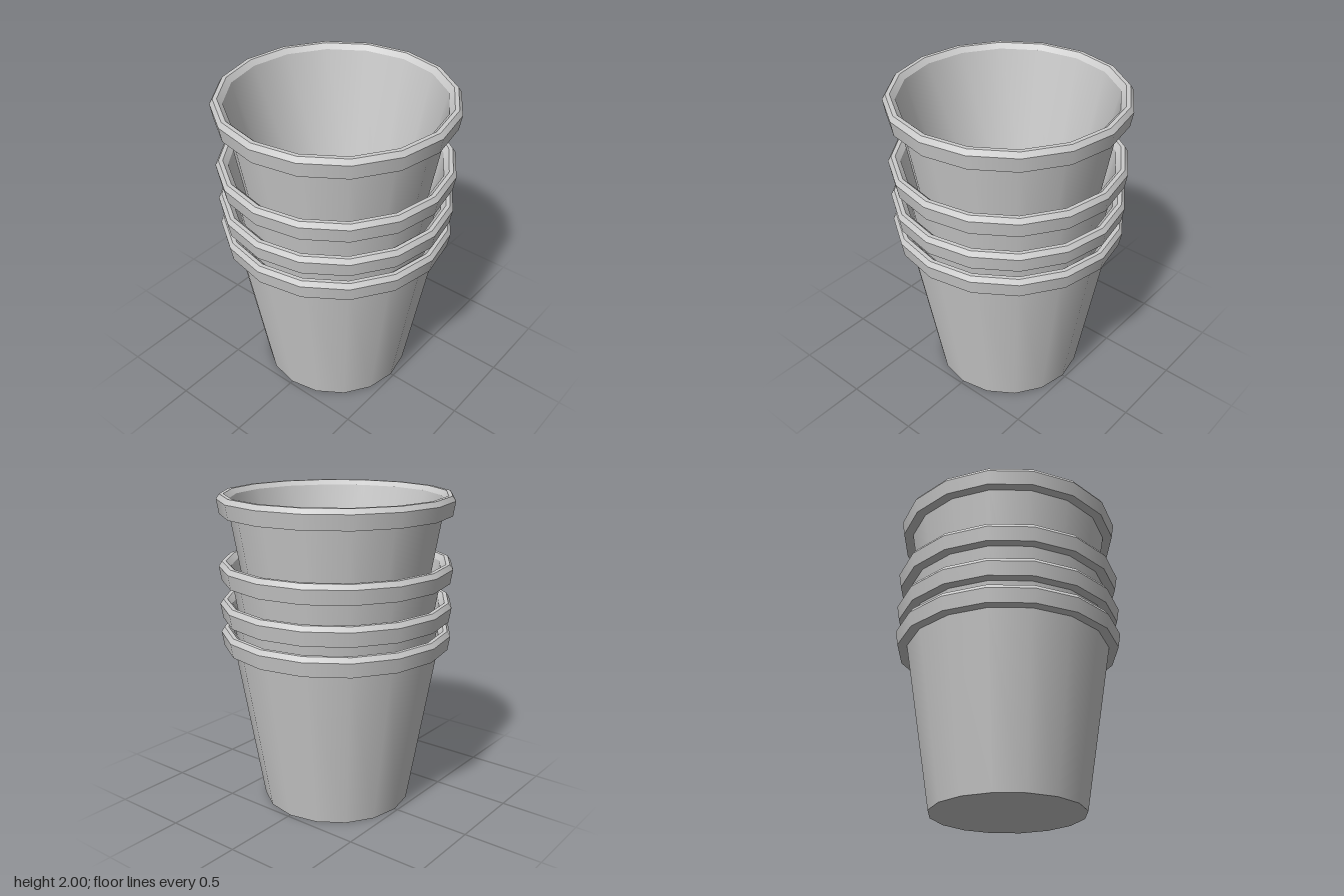
import * as THREE from 'three';
import { mergeGeometries } from 'three/addons/utils/BufferGeometryUtils.js';

const SIDES = 16;

// One lathe band per profile segment: smooth around, sharp between bands
function bands(points) {
  const parts = [];
  for (let i = 0; i < points.length - 1; i++) {
    const pair = [points[i], points[i + 1]].map(([r, y]) => new THREE.Vector2(r, y));
    parts.push(new THREE.LatheGeometry(pair, SIDES));
  }
  return mergeGeometries(parts);
}

export function createModel() {
  const group = new THREE.Group();
  group.name = 'stackedPots';
  const material = new THREE.MeshStandardMaterial({ color: 0xcccccc });

  // Profiles as [radius, height], running from the outside to the inside
  const shapes = {
    base: bands([[0, 0], [0.48, 0]]),
    outerWall: bands([[0.48, 0], [0.655, 1.05]]),
    rim: bands([[0.655, 1.05], [0.715, 1.05], [0.73, 1.14], [0.71, 1.17], [0.685, 1.17], [0.655, 1.14]]),
    innerWall: bands([[0.655, 1.14], [0.42, 0.06]]),
    floor: bands([[0.42, 0.06], [0, 0.06]]),
  };

  // Four nested pots, each sitting higher than the last
  [0, 0.18, 0.42, 0.83].forEach((lift, i) => {
    const pot = new THREE.Group();
    pot.name = `pot${i + 1}`;
    pot.position.y = lift;
    for (const [name, geometry] of Object.entries(shapes)) {
      const mesh = new THREE.Mesh(geometry, material);
      mesh.name = name;
      pot.add(mesh);
    }
    group.add(pot);
  });
  return group;
}
